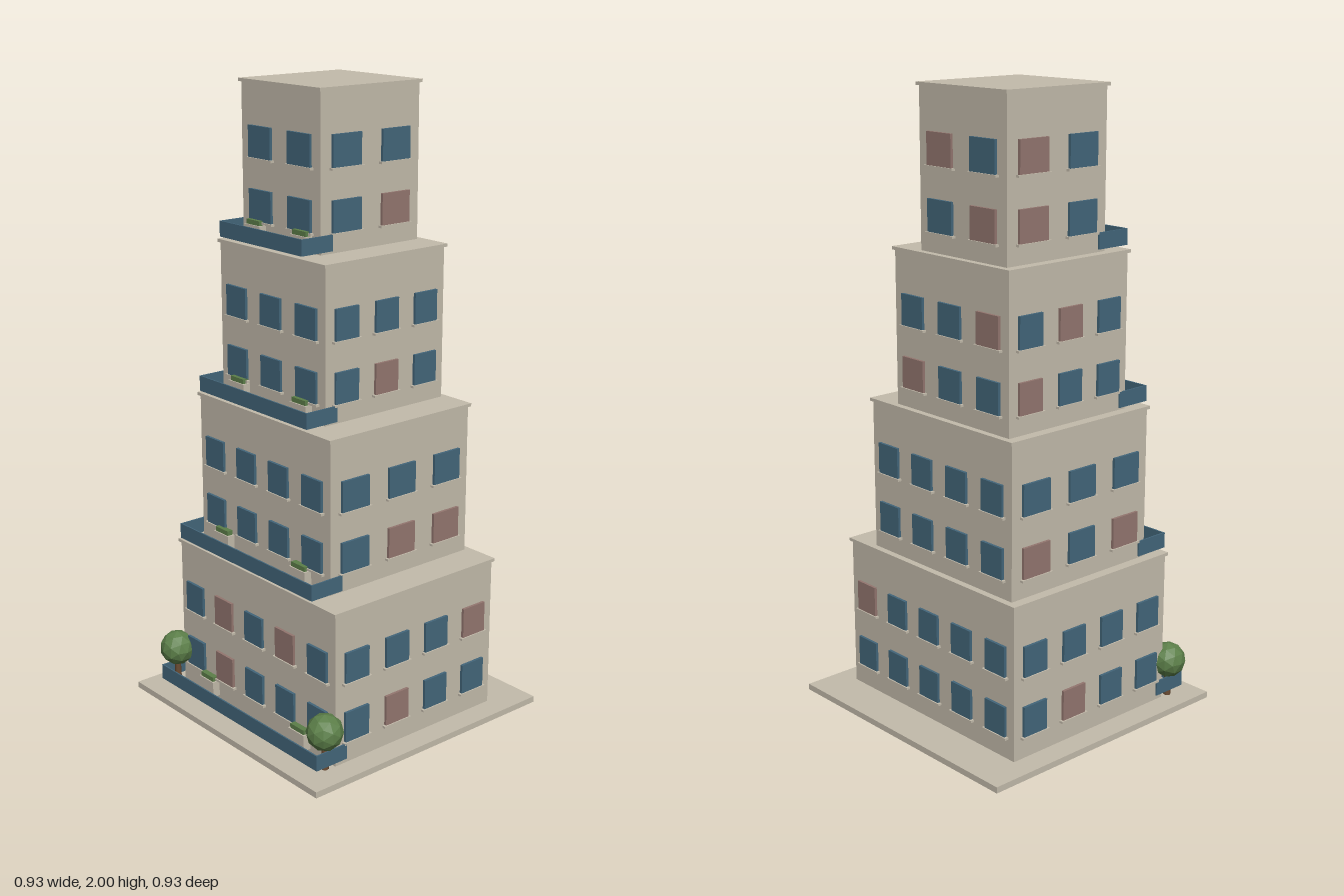
import * as THREE from 'three';

const mat = (name, color, extra = {}) => {
  const m = new THREE.MeshStandardMaterial({ color, ...extra });
  m.name = name;
  return m;
};

const STEP = 0.4925; // height of one tier
const BASE = 0.03;   // floor level of the lowest tier

// Footprint, windows per side, and the rosy windows as [row, index],
// counted from left to right when facing each wall (row 0 is the lower one)
const TIERS = [
  { x: [-0.388, 0.388], z: [-0.326, 0.326], n: [5, 4], planters: [-0.233, 0.232],
    rosy: { front: [[1, 1], [1, 3], [0, 1]], right: [[1, 3], [0, 1]], back: [[1, 0]], left: [[0, 1]] } },
  { x: [-0.361, 0.281], z: [-0.311, 0.254], n: [4, 3], planters: [-0.233, 0.153],
    rosy: { front: [], right: [[0, 1], [0, 2]], back: [], left: [[0, 0], [0, 2]] } },
  { x: [-0.334, 0.174], z: [-0.297, 0.182], n: [3, 3], planters: [-0.233, 0.073],
    rosy: { front: [], right: [[0, 1]], back: [[1, 2], [0, 0]], left: [[1, 1], [0, 0]] } },
  { x: [-0.308, 0.068], z: [-0.282, 0.11], n: [2, 2], planters: [-0.233, -0.008],
    rosy: { front: [], right: [[0, 1]], back: [[1, 0], [0, 1]], left: [[1, 0], [0, 0]] } },
];

export function createModel() {
  const wall = mat('stone', 0xc3bbab);
  const teal = mat('teal', 0x43667a);
  const rosy = mat('rosy glass', 0x93766f);
  const leaf = mat('leaf green', 0x5c7f49, { flatShading: true });
  const bark = mat('bark', 0x6b4c33);

  // Box given by its extents on each axis
  const box = (parent, name, material, [x0, x1], [y0, y1], [z0, z1]) => {
    const mesh = new THREE.Mesh(new THREE.BoxGeometry(x1 - x0, y1 - y0, z1 - z0), material);
    mesh.position.set((x0 + x1) / 2, (y0 + y1) / 2, (z0 + z1) / 2);
    mesh.name = name;
    parent.add(mesh);
    return mesh;
  };

  // Two rows of windows with sills, facing local +z
  const windowWall = (name, width, count, marked) => {
    const g = new THREE.Group();
    g.name = name;
    const pitch = width / count;
    const half = pitch * 0.285;
    for (let row = 0; row < 2; row++) {
      const y = 0.062 + row * 0.195;
      for (let i = 0; i < count; i++) {
        const cx = (i + 0.5) * pitch - width / 2;
        const isRosy = marked.some(([r, k]) => r === row && k === i);
        box(g, 'window', isRosy ? rosy : teal, [cx - half, cx + half], [y, y + 0.098], [0, 0.009]);
        box(g, 'windowSill', wall, [cx - half - 0.008, cx + half + 0.008], [y - 0.007, y], [0, 0.013]);
      }
    }
    return g;
  };

  const model = new THREE.Group();
  model.name = 'terracedTower';
  box(model, 'groundSlab', wall, [-0.465, 0.465], [0, 0.02], [-0.465, 0.465]);

  TIERS.forEach((t, level) => {
    const tier = new THREE.Group();
    tier.name = `tier${level + 1}`;
    tier.position.y = BASE + level * STEP;
    model.add(tier);
    const [x0, x1] = t.x;
    const [z0, z1] = t.z;
    const o = 0.007;

    // Block and its thin overhanging roof
    box(tier, 'walls', wall, t.x, [-0.01, STEP - 0.01], t.z);
    box(tier, 'roofSlab', wall, [x0 - o, x1 + o], [STEP - 0.01, STEP], [z0 - o, z1 + o]);

    // Windows on all four sides
    const w = x1 - x0, d = z1 - z0, cx = (x0 + x1) / 2, cz = (z0 + z1) / 2;
    [
      ['front', w, t.n[0], cx, z1, 0],
      ['right', d, t.n[1], x1, cz, Math.PI / 2],
      ['back', w, t.n[0], cx, z0, Math.PI],
      ['left', d, t.n[1], x0, cz, -Math.PI / 2],
    ].forEach(([side, width, count, px, pz, turn]) => {
      const g = windowWall(`${side}Windows`, width, count, t.rosy[side]);
      g.position.set(px, 0, pz);
      g.rotation.y = turn;
      tier.add(g);
    });

    // Three-sided terrace parapet
    const rx0 = x0 - 0.013, rx1 = x1 + 0.013, rz = z1 + 0.084, th = 0.005;
    const ry = [0.01, 0.06];
    box(tier, 'parapetFront', teal, [rx0, rx1], ry, [rz - th, rz]);
    box(tier, 'parapetSide', teal, [rx0, rx0 + th], ry, [z1 - 0.036, rz - th]);
    box(tier, 'parapetSide', teal, [rx1 - th, rx1], ry, [z1 - 0.036, rz - th]);

    // Planters under the front windows
    t.planters.forEach((px) => {
      box(tier, 'planter', wall, [px - 0.038, px + 0.038], [0, 0.052], [z1, z1 + 0.026]);
      box(tier, 'planterGreenery', leaf, [px - 0.032, px + 0.032], [0.05, 0.067], [z1 + 0.003, z1 + 0.022]);
    });
  });

  // Round bushes at the front corners
  [-0.385, 0.376].forEach((x, i) => {
    const tree = new THREE.Group();
    tree.name = 'cornerTree';
    tree.position.set(x, 0, 0.357);
    const trunk = new THREE.Mesh(new THREE.CylinderGeometry(0.009, 0.012, 0.09, 8), bark);
    trunk.name = 'trunk';
    trunk.position.y = 0.065;
    const crown = new THREE.Mesh(new THREE.IcosahedronGeometry(0.058, 1), leaf);
    crown.name = 'crown';
    crown.position.y = 0.143;
    crown.rotation.y = i * 0.8;
    tree.add(trunk, crown);
    model.add(tree);
  });

  return model;
}
